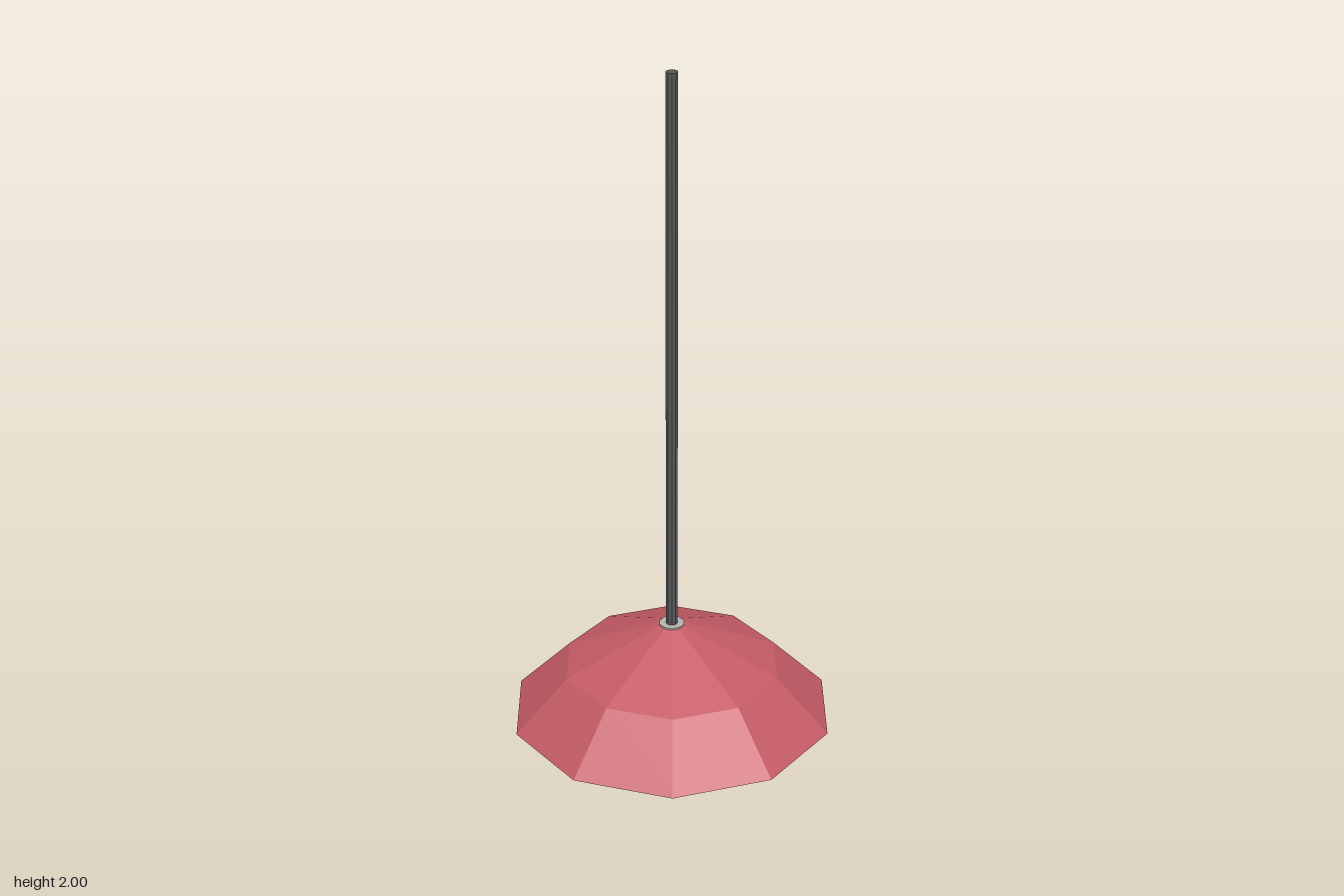
import * as THREE from 'three';

const material = (name, color) => {
  const m = new THREE.MeshStandardMaterial({ color, flatShading: true });
  m.name = name;
  return m;
};

// Turns a closed [radius, height] outline, drawn counter-clockwise, about the y axis.
function turned(name, outline, sides, mat) {
  const points = [...outline, outline[0]].map(([r, y]) => new THREE.Vector2(r, y));
  const mesh = new THREE.Mesh(new THREE.LatheGeometry(points, sides, Math.PI / 2), mat);
  mesh.name = name;
  return mesh;
}

export function createModel() {
  const red = material('shade red', 0xc45b65);
  const grey = material('socket grey', 0xb2b2b2);
  const dark = material('cord charcoal', 0x575757);

  const lamp = new THREE.Group();
  lamp.name = 'pendantLamp';

  // Ten-sided shade, bent outside and a plain cone inside, with a flat lower rim
  lamp.add(turned('shade', [
    [0.484, 0], [0.325, 0.162], [0.036, 0.291],
    [0.02, 0.291], [0.02, 0.24], [0.454, 0],
  ], 10, red));

  // Thin collar where the cord enters the shade
  lamp.add(turned('collar', [
    [0.038, 0.28], [0.038, 0.295], [0.012, 0.295], [0.012, 0.28],
  ], 10, grey));

  // Bulb socket under the shade, open at the bottom
  lamp.add(turned('socket', [
    [0.083, 0.165], [0.083, 0.22], [0.001, 0.22],
    [0.001, 0.2], [0.035, 0.2], [0.035, 0.165],
  ], 10, grey));

  // Straight hanging cord
  const cord = new THREE.Mesh(new THREE.CylinderGeometry(0.018, 0.018, 1.74, 10), dark);
  cord.name = 'cord';
  cord.position.y = 1.13;
  cord.rotation.y = Math.PI / 2;
  lamp.add(cord);

  return lamp;
}
